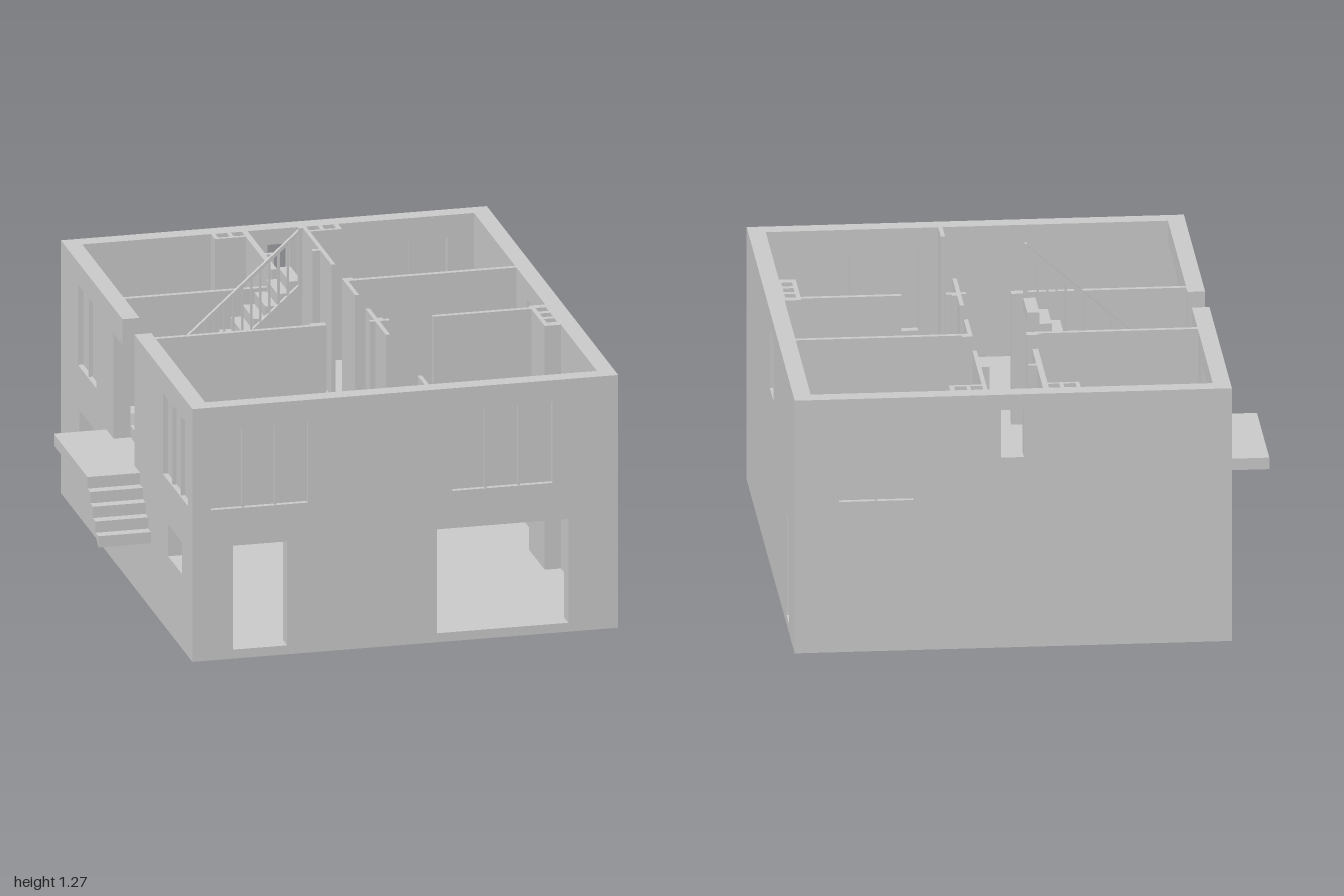
import * as THREE from 'three';

const mat = new THREE.MeshStandardMaterial({ color: 0xcccccc, flatShading: true });
const TOP = 0.985, FLOOR = 0.475, T = 0.065;
const W = -0.71, E = 0.91;

export function createModel() {
  const house = new THREE.Group();
  house.name = 'house';

  const add = (name, geo) => {
    const mesh = new THREE.Mesh(geo, mat);
    mesh.name = name;
    house.add(mesh);
    return mesh;
  };
  const box = (name, x0, x1, y0, y1, z0, z1) => add(name,
    new THREE.BoxGeometry(x1 - x0, y1 - y0, z1 - z0)
      .translate((x0 + x1) / 2, (y0 + y1) / 2, (z0 + z1) / 2));
  const poly = pts => new THREE.Shape(pts.map(p => new THREE.Vector2(...p)));
  const rect = (a0, a1, b0, b1) => [[a0, b0], [a1, b0], [a1, b1], [a0, b1]];
  const extrude = (pts, depth, holes = []) => {
    const shape = poly(pts);
    holes.forEach(h => shape.holes.push(poly(rect(...h))));
    return new THREE.ExtrudeGeometry(shape, { depth, bevelEnabled: false });
  };
  // Walls facing z or x, drawn upright; slabs drawn on the ground plane
  const wallZ = (name, pts, z0, depth, holes) =>
    add(name, extrude(pts, depth, holes).translate(0, 0, z0));
  const wallX = (name, pts, x0, depth, holes) =>
    add(name, extrude(pts, depth, holes).rotateY(-Math.PI / 2).translate(x0 + depth, 0, 0));
  const prism = (name, pts, y0, y1, holes) =>
    add(name, extrude(pts, y1 - y0, holes).rotateX(Math.PI / 2).translate(0, y1, 0));

  // Openings as [start, end, bottom, top] along each wall
  const win = [0.585, 0.9];
  const frontWindows = [[-0.64, -0.27, ...win], [0.28, 0.66, ...win]];
  const backWindows = [[0.47, 0.745, ...win], [0.06, 0.145, 0.74, 0.925]];
  const westWindows = [[-0.74, -0.46, ...win], [0.55, 0.93, ...win]];
  const eastWindow = [-0.125, 0.035, 0.685, 0.915];

  // Outer walls
  wallZ('frontWall', rect(W, E, 0, TOP), 1 - T, T,
    [...frontWindows, [-0.555, -0.35, 0.035, 0.44], [0.22, 0.72, 0.035, 0.44]]);
  wallZ('backWall', rect(W, E, 0, TOP), -1, T, backWindows);
  wallX('eastWall', rect(-1 + T, 1 - T, 0, TOP), E - T, T,
    [eastWindow, [-0.76, -0.66, 0.035, 0.44]]);
  wallX('westWall', [
    [-1 + T, 0], [1 - T, 0], [1 - T, TOP], [0.115, TOP], [0.115, FLOOR], [-0.2, FLOOR],
    [-0.2, 0.885], [-0.065, 0.885], [-0.065, TOP], [-1 + T, TOP],
  ], W, T, [...westWindows, [-0.72, -0.51, 0.29, 0.415], [0.63, 0.84, 0.29, 0.415]]);

  // Floors
  box('groundSlab', W + T, E - T, 0, 0.035, -1 + T, 1 - T);
  box('upperFloor', W + T, E - T, 0.44, FLOOR, -1 + T, 1 - T);

  // Window panes with slim mullions, set back from the outer face
  const glaze = (along, outer, inward, [a0, a1, y0, y1], count) => {
    const put = (name, b0, b1, near, far) => {
      const d = [outer + inward * near, outer + inward * far].sort((p, q) => p - q);
      if (along === 'x') box(name, b0, b1, y0, y1, ...d);
      else box(name, ...d, y0, y1, b0, b1);
    };
    put('windowPane', a0, a1, 0.02, 0.032);
    for (let i = 1; i < count; i++) {
      const a = a0 + (a1 - a0) * i / count;
      put('windowMullion', a - 0.004, a + 0.004, 0.005, 0.045);
    }
  };
  frontWindows.forEach(w => glaze('x', 1, -1, w, 3));
  glaze('x', -1, 1, backWindows[0], 2);
  glaze('z', W, 1, westWindows[0], 2);
  glaze('z', W, 1, westWindows[1], 3);
  glaze('z', E, -1, eastWindow, 1);

  // Upper partitions as [x0, x1, z0, z1]
  [
    [-0.645, 0, 0.165, 0.185], [-0.055, 0.005, 0.15, 0.183],
    [0.41, 0.785, 0.165, 0.185],
    [0.19, 0.206, 0.035, 0.345], [0.17, 0.245, 0.165, 0.185], [0.19, 0.225, 0.148, 0.185],
    [0.19, 0.206, 0.83, 0.935],
    [0.19, 0.845, -0.31, -0.29], [0.19, 0.206, -0.325, -0.125], [0.19, 0.23, -0.325, -0.29],
    [-0.645, -0.01, -0.31, -0.29], [-0.055, -0.01, -0.325, -0.29],
    [-0.038, -0.016, -0.935, -0.485], [-0.038, 0.015, -0.675, -0.655],
    [0.19, 0.206, -0.935, -0.485], [0.16, 0.206, -0.675, -0.655],
  ].forEach(([x0, x1, z0, z1]) => box('partition', x0, x1, FLOOR, TOP, z0, z1));

  // Ground level partitions
  box('garagePartition', 0.19, 0.21, 0.035, 0.44, -0.3, 0.935);
  box('crossPartition', -0.645, 0.845, 0.035, 0.44, -0.31, -0.29);

  // Chimney stacks with open flues
  prism('backChimney', rect(-0.155, -0.025, -0.937, -0.875), 0.035, TOP,
    [[-0.14, -0.095, -0.933, -0.89], [-0.08, -0.036, -0.933, -0.89]]);
  prism('backChimney', rect(0.2, 0.328, -0.937, -0.875), 0.035, TOP,
    [[0.205, 0.25, -0.933, -0.89], [0.265, 0.31, -0.933, -0.89]]);
  prism('eastChimney', rect(0.783, 0.847, 0.148, 0.388), 0.035, TOP,
    [0.18, 0.245, 0.31].map(z => [0.8, 0.84, z, z + 0.042]));

  // Saw-tooth flight profile with a sloping soffit
  const flight = (a, y, count, run, rise) => {
    const pts = [[a, y]];
    for (let i = 0; i < count; i++) {
      pts.push([a + run * i, y + rise * (i + 1)], [a + run * (i + 1), y + rise * (i + 1)]);
    }
    pts.push([a + run * count, y + rise * (count - 1)]);
    return pts;
  };

  // Porch landing and its steps
  box('porchLanding', -0.91, W, 0.43, FLOOR, -0.31, 0.205);
  wallX('porchSteps', flight(0.37, 0.255, 4, -0.0413, 0.0438), -0.91, 0.2);

  // Inner stair: three winders, then a straight flight
  const rise = 0.045, pivot = [-0.47, -0.12];
  [
    [[-0.47, -0.1], [-0.645, -0.1], [-0.645, -0.21]],
    [[-0.645, -0.21], [-0.645, -0.29], [-0.56, -0.29]],
    [[-0.56, -0.29], [-0.47, -0.29]],
  ].forEach((pts, i) => prism('winderStep', [pivot, ...pts], FLOOR, FLOOR + rise * (i + 1)));
  wallZ('stairFlight', flight(-0.47, FLOOR + rise * 3, 10, 0.0455, rise), -0.29, 0.17);

  // Balustrade: stringer, sloping handrail, balusters and newel posts
  const railY = x => 1.27 + (x + 0.02) * 0.89;
  const band = (x0, x1, drop, h) => [
    [x0, railY(x0) - drop - h], [x1, railY(x1) - drop - h],
    [x1, railY(x1) - drop], [x0, railY(x0) - drop]];
  wallZ('stairStringer', band(-0.48, -0.015, 0.215, 0.06), -0.12, 0.015);
  wallZ('handrail', band(-0.55, -0.015, 0, 0.016), -0.12, 0.016);
  for (let i = 0; i < 14; i++) {
    const x = -0.07 - i * 0.0345;
    const foot = x > -0.48 ? railY(x) - 0.23 : FLOOR;
    box('baluster', x - 0.004, x + 0.004, foot, railY(x) - 0.01, -0.116, -0.108);
  }
  box('topNewel', -0.03, -0.015, 1.0, 1.27, -0.12, -0.104);
  box('bottomNewel', -0.555, -0.54, FLOOR, railY(-0.545), -0.12, -0.104);

  return house;
}
